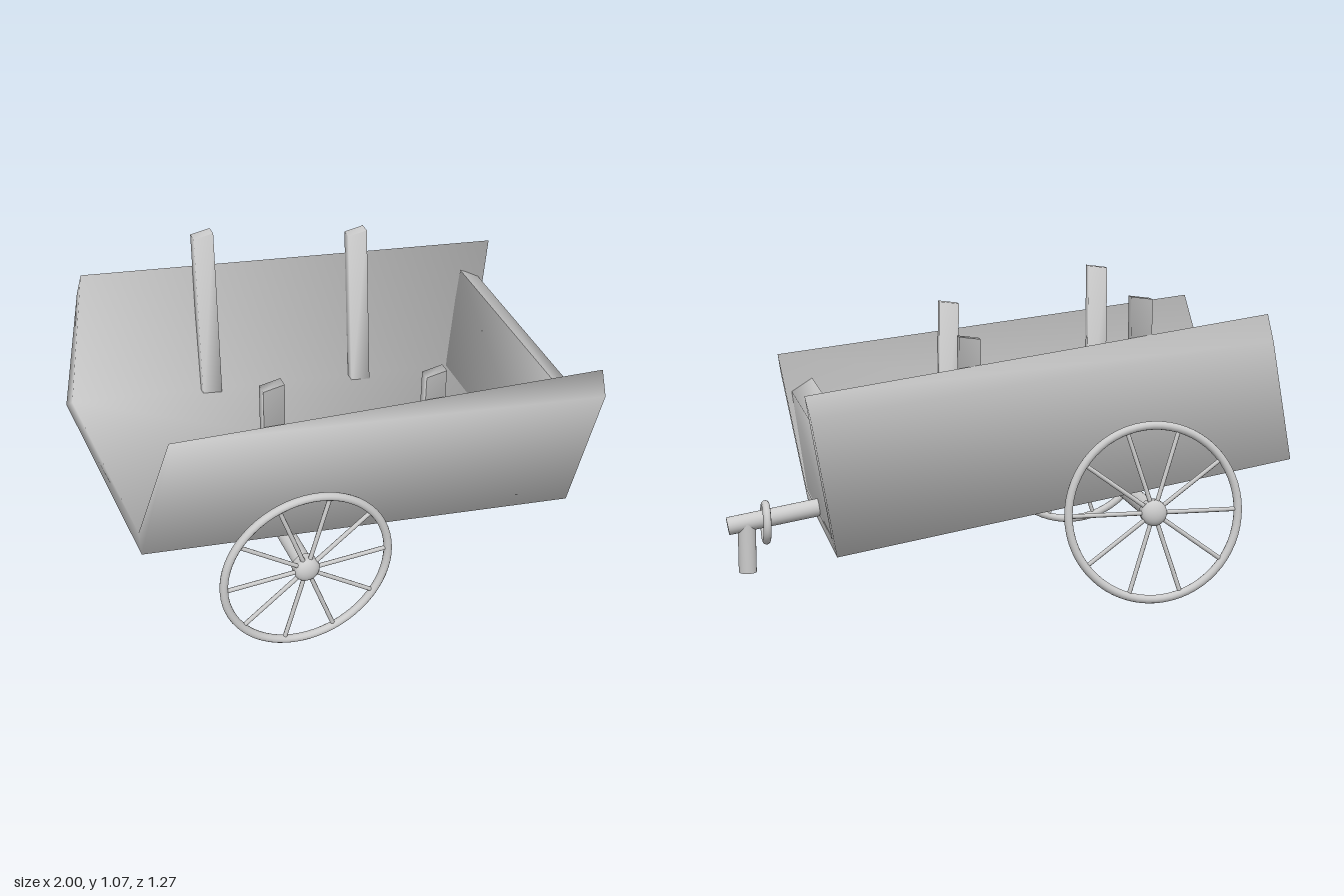
import * as THREE from 'three';
import { toCreasedNormals } from 'three/addons/utils/BufferGeometryUtils.js';

const mat = new THREE.MeshStandardMaterial({ color: 0xcccccc });

function add(parent, name, geo, x = 0, y = 0, z = 0) {
  const m = new THREE.Mesh(geo, mat);
  m.name = name;
  m.position.set(x, y, z);
  parent.add(m);
  return m;
}

// Closed solid between two matching loops of points, capped at both ends
function loft(start, end, caps) {
  const n = start.length, index = [];
  for (let i = 0; i < n; i++) {
    const j = (i + 1) % n;
    index.push(i, j, n + j, i, n + j, n + i);
  }
  for (const [a, b, c] of caps) index.push(n + a, n + b, n + c, c, b, a);
  const g = new THREE.BufferGeometry();
  g.setAttribute('position', new THREE.Float32BufferAttribute([...start, ...end].flat(), 3));
  g.setIndex(index);
  return toCreasedNormals(g, 1.68);
}

// Cylinder running from point a to point b
function rod(parent, name, a, b, r, sides = 24) {
  const p = new THREE.Vector3(...a), q = new THREE.Vector3(...b);
  const d = q.clone().sub(p);
  const m = add(parent, name, new THREE.CylinderGeometry(r, r, d.length(), sides));
  m.position.copy(p).add(q).multiplyScalar(0.5);
  m.quaternion.setFromUnitVectors(new THREE.Vector3(0, 1, 0), d.normalize());
  return m;
}

function makeWheel(name, z, tilt) {
  const w = new THREE.Group();
  w.name = name;
  w.position.set(-0.45, 0.33, z);
  w.rotation.x = tilt;
  add(w, 'rim', new THREE.TorusGeometry(0.308, 0.015, 12, 64));
  add(w, 'hub', new THREE.SphereGeometry(0.047, 24, 16)).scale.z = 0.6;
  for (let i = 0; i < 10; i++) {
    const a = (i / 10) * Math.PI * 2;
    rod(w, 'spoke', [0, 0, 0], [0.305 * Math.cos(a), 0.305 * Math.sin(a), 0], 0.008, 8);
  }
  return w;
}

// Leaning square post, swept from its foot to its top
function post(parent, name, foot, top) {
  const corners = [[-0.038, 0.02], [0.038, 0.02], [0.038, -0.02], [-0.038, -0.02]];
  const ring = ([x, y, z]) => corners.map(([dx, dz]) => [x + dx, y + dx * 0.13, z + dz]);
  add(parent, name, loft(ring(foot), ring(top), [[0, 1, 2], [0, 2, 3]]));
}

export function createModel() {
  const cart = new THREE.Group();
  cart.name = 'cart';

  // Tilted floor and flared sides, open at the rear: U section at rear and front
  const rear = [
    [-0.89, 0.95, 0.515], [-0.905, 0.88, 0.54], [-1, 0.47, 0.47], [-1, 0.47, -0.455],
    [-0.905, 0.91, -0.51], [-0.89, 1.005, -0.485], [-0.99, 0.52, -0.395], [-0.99, 0.52, 0.415],
  ];
  const front = [
    [0.755, 0.765, 0.48], [0.74, 0.69, 0.54], [0.65, 0.19, 0.47], [0.65, 0.19, -0.455],
    [0.74, 0.69, -0.51], [0.755, 0.765, -0.465], [0.66, 0.24, -0.395], [0.66, 0.24, 0.415],
  ];
  add(cart, 'floorAndSides', loft(rear, front,
    [[0, 1, 2], [0, 2, 7], [7, 2, 3], [7, 3, 6], [6, 3, 4], [6, 4, 5]]));

  // Front board with a bevelled top
  const profile = [[0.65, 0.193], [0.705, 0.62], [0.625, 0.67], [0.55, 0.25]];
  const widths = [[0.45, -0.435], [0.48, -0.46], [0.47, -0.445], [0.43, -0.41]];
  const boardEnd = (k) => profile.map(([x, y], i) => [x, y, widths[i][k]]);
  add(cart, 'frontBoard', loft(boardEnd(1), boardEnd(0), [[0, 1, 2], [0, 2, 3]]));

  // Posts leaning against the sides
  post(cart, 'rearLeftPost', [-0.495, 0.4, 0.415], [-0.52, 1.075, 0.503]);
  post(cart, 'frontLeftPost', [0.105, 0.3, 0.395], [0.083, 0.95, 0.483]);
  post(cart, 'rearRightPost', [-0.45, 0.4, -0.385], [-0.425, 1.075, -0.475]);
  post(cart, 'frontRightPost', [0.16, 0.29, -0.375], [0.183, 0.95, -0.46]);

  // Axle with collars, and wheels
  rod(cart, 'axle', [-0.45, 0.33, 0.61], [-0.45, 0.33, -0.595], 0.032);
  for (const z of [0.595, 0.25, -0.585]) {
    rod(cart, 'axleCollar', [-0.45, 0.33, z - 0.015], [-0.45, 0.33, z + 0.015], 0.046);
  }
  cart.add(makeWheel('leftWheel', 0.61, -0.025));
  cart.add(makeWheel('rightWheel', -0.595, 0.08));

  // Drawbar with ring and hanging pin
  rod(cart, 'drawbar', [0.6, 0.272, 0.012], [0.995, 0.206, 0.012], 0.033);
  rod(cart, 'hitchPin', [0.925, 0.215, 0.012], [0.925, 0.03, 0.012], 0.033);
  add(cart, 'hitchRing', new THREE.TorusGeometry(0.067, 0.015, 12, 40), 0.855, 0.214, 0.012)
    .rotation.y = Math.PI / 2;

  return cart;
}
